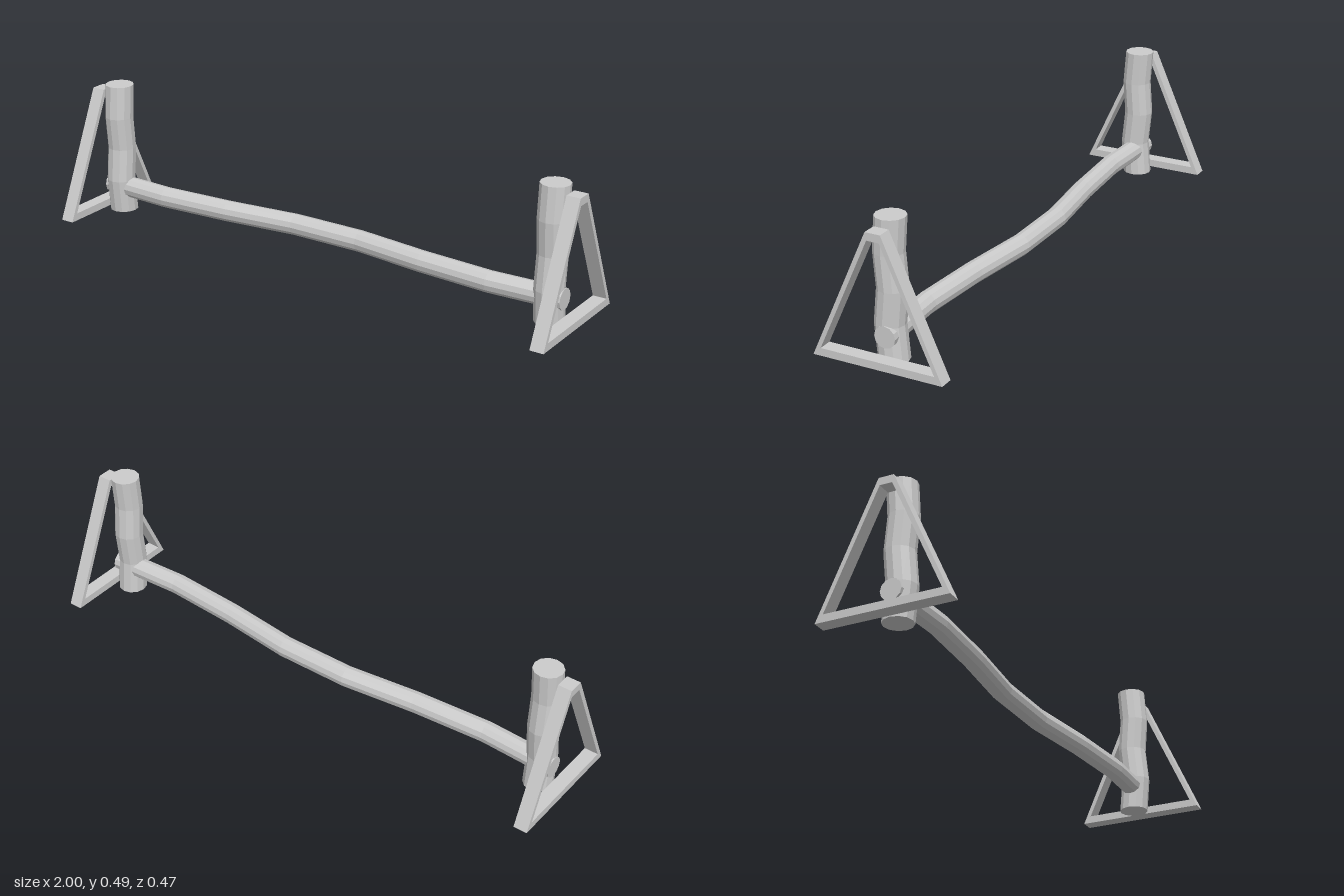
import * as THREE from 'three';

const material = new THREE.MeshStandardMaterial({ color: 0xcccccc, flatShading: true });

// Crooked log: a cylinder whose rings are shifted in z, bottom to top
function logGeometry(radius, length, shifts) {
  const segments = shifts.length - 1;
  const geometry = new THREE.CylinderGeometry(radius, radius, length, 12, segments);
  const p = geometry.attributes.position;
  for (let i = 0; i < p.count; i++) {
    const ring = Math.round((p.getY(i) / length + 0.5) * segments);
    p.setZ(i, p.getZ(i) + shifts[ring]);
  }
  geometry.computeVertexNormals();
  return geometry;
}

// Triangular frame with a blunt top, cut out in the middle
function frameGeometry(depth) {
  const points = (list) => list.map(([z, y]) => new THREE.Vector2(z, y));
  const shape = new THREE.Shape(points([[-0.233, 0.003], [0.233, 0.003], [0.027, 0.46], [-0.027, 0.46]]));
  shape.holes.push(new THREE.Path(points([[-0.205, 0.03], [-0.022, 0.433], [0.022, 0.433], [0.205, 0.03]])));
  const geometry = new THREE.ExtrudeGeometry(shape, { depth, bevelEnabled: false });
  geometry.translate(0, 0, -depth / 2);
  geometry.rotateY(Math.PI / 2);
  return geometry;
}

export function createModel() {
  const group = new THREE.Group();
  const add = (name, geometry, x, y) => {
    const mesh = new THREE.Mesh(geometry, material);
    mesh.name = name;
    mesh.position.set(x, y, 0);
    group.add(mesh);
  };

  // Long crossbar log running through both posts
  const bar = logGeometry(0.038, 1.9, [0, 0.013, -0.005, -0.037, -0.037, -0.005, 0.013, 0]);
  bar.rotateZ(Math.PI / 2);
  add('crossbar', bar, 0, 0.092);

  // Upright post and outer triangular frame at each end
  const post = logGeometry(0.052, 0.485, [-0.001, 0.01, -0.002, 0.008, -0.001]);
  const frame = frameGeometry(0.05);
  for (const [side, s] of [['left', 1], ['right', -1]]) {
    add(side + 'Post', post, s * 0.897, 0.2425);
    add(side + 'Frame', frame, s * 0.975, 0);
  }
  return group;
}
